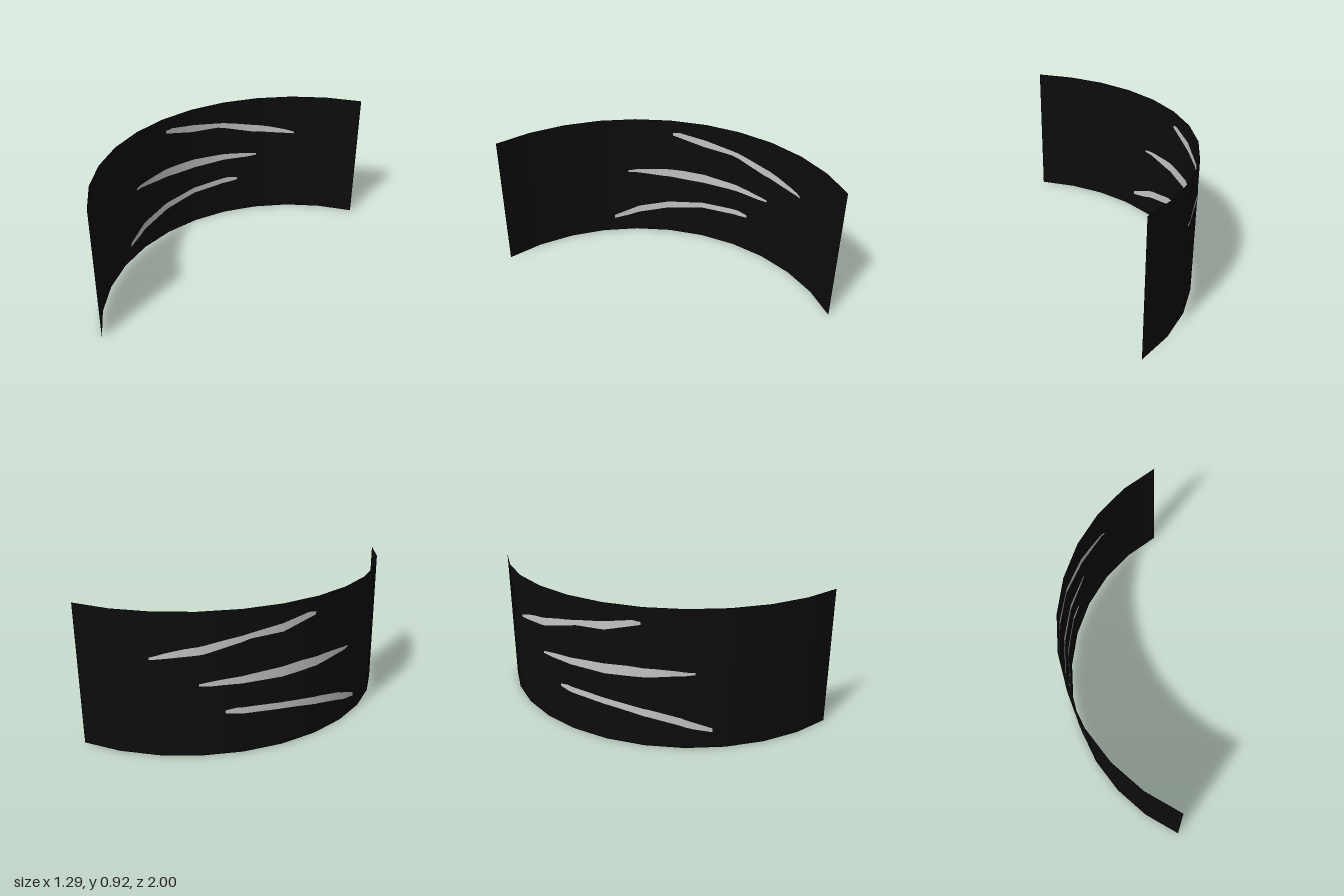
import * as THREE from 'three';

const R = 1.2857, CX = 0.643, CZ = 0.286, HEIGHT = 0.915;
const SEGMENTS = 11, STEP = 11.25; // facets of the curved band, in degrees
const rad = THREE.MathUtils.degToRad;

// Slash outlines as [angle from the back end in degrees, lower y, upper y]
const SLASHES = {
  upperSlash: [[21.1, 0.622, 0.636], [25, 0.63, 0.663], [30, 0.643, 0.69], [35.3, 0.657, 0.71],
    [41, 0.692, 0.738], [47.2, 0.73, 0.764], [56.6, 0.744, 0.797], [64.5, 0.79, 0.828], [66.8, 0.803, 0.822]],
  middleSlash: [[33.7, 0.459, 0.473], [37, 0.454, 0.484], [41, 0.456, 0.495], [47.2, 0.457, 0.508],
    [56.6, 0.457, 0.523], [63, 0.463, 0.53], [70.2, 0.473, 0.528], [76.2, 0.488, 0.522], [81.2, 0.498, 0.512]],
  lowerSlash: [[40.4, 0.272, 0.29], [43.4, 0.262, 0.302], [47.2, 0.257, 0.299], [56.6, 0.244, 0.287],
    [60.9, 0.23, 0.274], [68.7, 0.2, 0.252], [77.6, 0.155, 0.208], [80.8, 0.132, 0.18], [86.2, 0.107, 0.134]],
};

// Adds a row wherever a slash crosses a fold between two facets
function withFolds(rows) {
  const out = [rows[0]];
  for (let i = 1; i < rows.length; i++) {
    const a = rows[i - 1], b = rows[i];
    for (let k = 1; k < SEGMENTS; k++) {
      const t = (k * STEP - a[0]) / (b[0] - a[0]);
      if (t > 0 && t < 1) out.push(a.map((v, j) => v + (b[j] - v) * t));
    }
    out.push(b);
  }
  return out;
}

// A strip lying on the band's facets, moved in or out by a small offset
function slashGeometry(rows, offset) {
  const positions = [], normals = [], index = [];
  withFolds(rows).forEach(([deg, low, high], i, all) => {
    const half = rad(STEP / 2), t = rad(deg);
    const r = R * Math.cos(half) / Math.cos(rad(deg % STEP) - half) + offset;
    const s = Math.sin(t), c = Math.cos(t);
    for (const y of [low, high]) {
      positions.push(CX - r * s, y, CZ - r * c);
      normals.push(-s, 0, -c);
    }
    if (i < all.length - 1) {
      const a = i * 2;
      index.push(a, a + 2, a + 3, a, a + 3, a + 1);
    }
  });
  const g = new THREE.BufferGeometry();
  g.setAttribute('position', new THREE.Float32BufferAttribute(positions, 3));
  g.setAttribute('normal', new THREE.Float32BufferAttribute(normals, 3));
  g.setIndex(index);
  return g;
}

export function createModel() {
  const group = new THREE.Group();
  group.name = 'curvedSlashPanel';
  const black = new THREE.MeshStandardMaterial({ color: 0x0c0c0c, side: THREE.DoubleSide });
  black.name = 'black';
  const grey = new THREE.MeshStandardMaterial({ color: 0xc4c4c4, side: THREE.DoubleSide });
  grey.name = 'lightGrey';

  // Open curved band
  const band = new THREE.Mesh(
    new THREE.CylinderGeometry(R, R, HEIGHT, SEGMENTS, 1, true, Math.PI, rad(SEGMENTS * STEP)), black);
  band.position.set(CX, HEIGHT / 2, CZ);
  band.name = 'curvedBand';
  group.add(band);

  // Slashes, seen on both faces of the band
  for (const [name, rows] of Object.entries(SLASHES)) {
    for (const [face, offset] of [['Outer', 0.002], ['Inner', -0.002]]) {
      const slash = new THREE.Mesh(slashGeometry(rows, offset), grey);
      slash.name = name + face;
      group.add(slash);
    }
  }
  return group;
}
